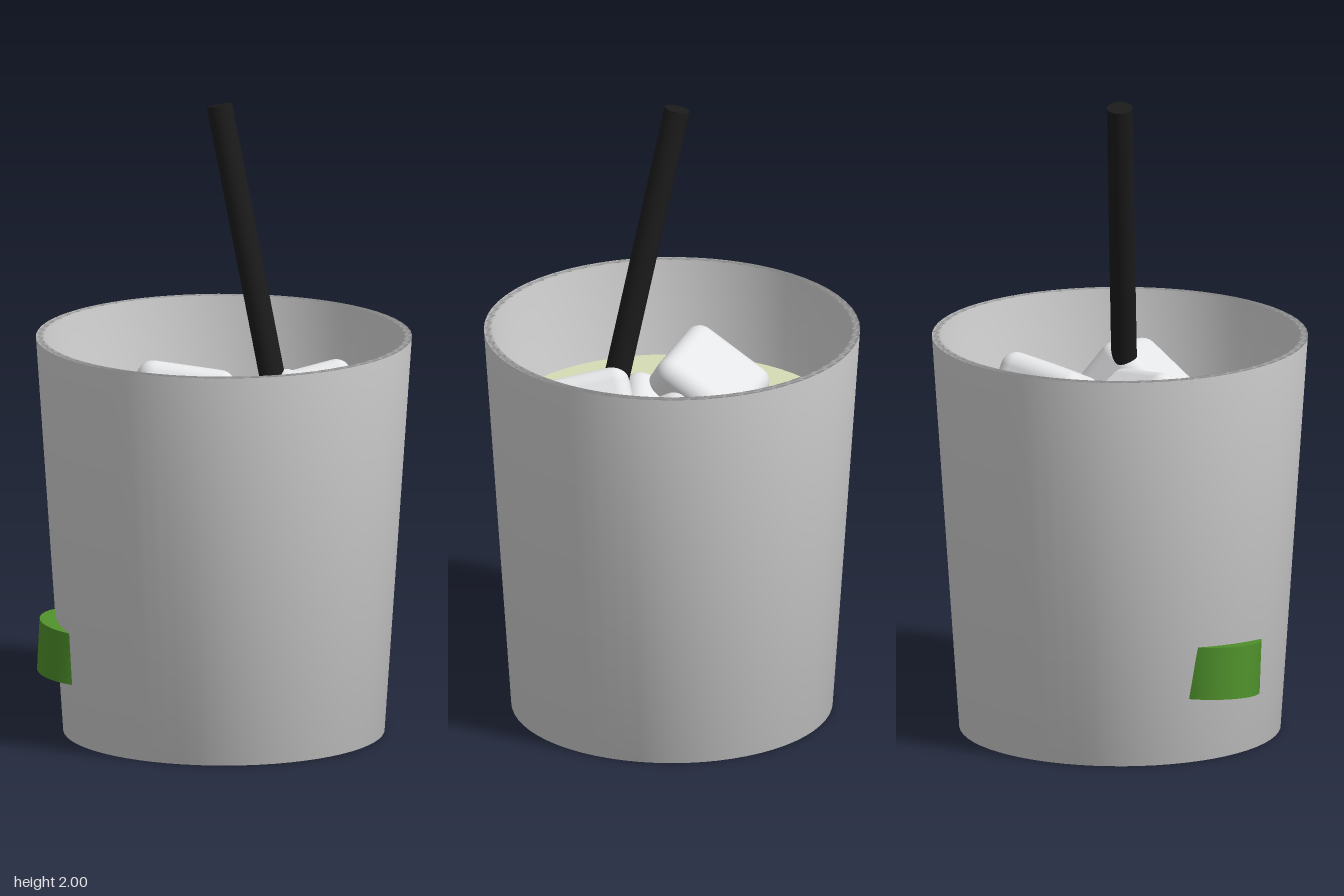
import * as THREE from 'three';
import { mergeVertices } from 'three/addons/utils/BufferGeometryUtils.js';
import { RoundedBoxGeometry } from 'three/addons/geometries/RoundedBoxGeometry.js';

const mat = (name, color, side = THREE.FrontSide) => {
  const m = new THREE.MeshStandardMaterial({ color, side });
  m.name = name;
  return m;
};

export function createModel() {
  const group = new THREE.Group();
  const glass = mat('cupGrey', 0xd2d2d2, THREE.DoubleSide);
  const ice = mat('iceWhite', 0xe4e5e7);
  const drink = mat('paleLime', 0xd6dcb4);
  const black = mat('strawBlack', 0x1b1b1b);
  const green = mat('limeGreen', 0x4f902b);

  const add = (name, geometry, material) => {
    const mesh = new THREE.Mesh(geometry, material);
    mesh.name = name;
    group.add(mesh);
    return mesh;
  };

  // Tapered cup with a thick wall; welded so the base blends smoothly into the side
  const profile = [[0, 0], [0.5, 0], [0.585, 1.255], [0.56, 1.255], [0.48, 0.04], [0, 0.04]]
    .map(([r, y]) => new THREE.Vector2(r, y));
  let cup = new THREE.LatheGeometry(profile, 64);
  cup.deleteAttribute('uv');
  cup.deleteAttribute('normal');
  cup = mergeVertices(cup, 1e-5);
  cup.computeVertexNormals();
  add('cup', cup, glass);

  // Drink filling the cup
  const liquid = add('drink', new THREE.CylinderGeometry(0.532, 0.478, 0.9, 64), drink);
  liquid.position.y = 0.5;

  // Ice cubes: size, centre, the direction of the top face and of one side edge
  const cubes = [
    [0.31, [-0.125, 0.97, 0.065], [-0.23, 0.83, -0.5], [-0.78, 0.145, 0.6]],
    [0.3, [0.28, 0.97, 0.02], [-0.07, 0.8, 0.6], [0.78, -0.16, 0.3]],
    [0.3, [0.19, 0.95, -0.24], [0.25, 0.91, 0.32], [0.8, -0.36, 0.4]],
    [0.3, [0.04, 0.87, 0.05], [-0.2, 0.75, -0.6], [0.85, 0.4, 0.2]],
  ];
  cubes.forEach(([size, centre, up, edge], i) => {
    const y = new THREE.Vector3(...up).normalize();
    const z = new THREE.Vector3(...edge).cross(y).normalize();
    const x = new THREE.Vector3().crossVectors(y, z);
    const cube = add('iceCube' + (i + 1), new RoundedBoxGeometry(size, size, size, 4, 0.05), ice);
    cube.quaternion.setFromRotationMatrix(new THREE.Matrix4().makeBasis(x, y, z));
    cube.position.set(...centre);
  });

  // Leaning straw
  const top = new THREE.Vector3(-0.018, 1.99, 0);
  const bottom = new THREE.Vector3(0.405, 0.28, 0);
  const axis = top.clone().sub(bottom);
  const straw = add('straw', new THREE.CylinderGeometry(0.04, 0.04, axis.length(), 24), black);
  straw.position.copy(top).add(bottom).multiplyScalar(0.5);
  straw.quaternion.setFromUnitVectors(new THREE.Vector3(0, 1, 0), axis.normalize());

  // Lime slice showing through the cup wall
  const lime = add('limeSlice', new THREE.CylinderGeometry(0.16, 0.155, 0.165, 32), green);
  lime.position.set(-0.3, 0.275, 0.3);
  lime.rotation.z = -0.1;

  return group;
}
